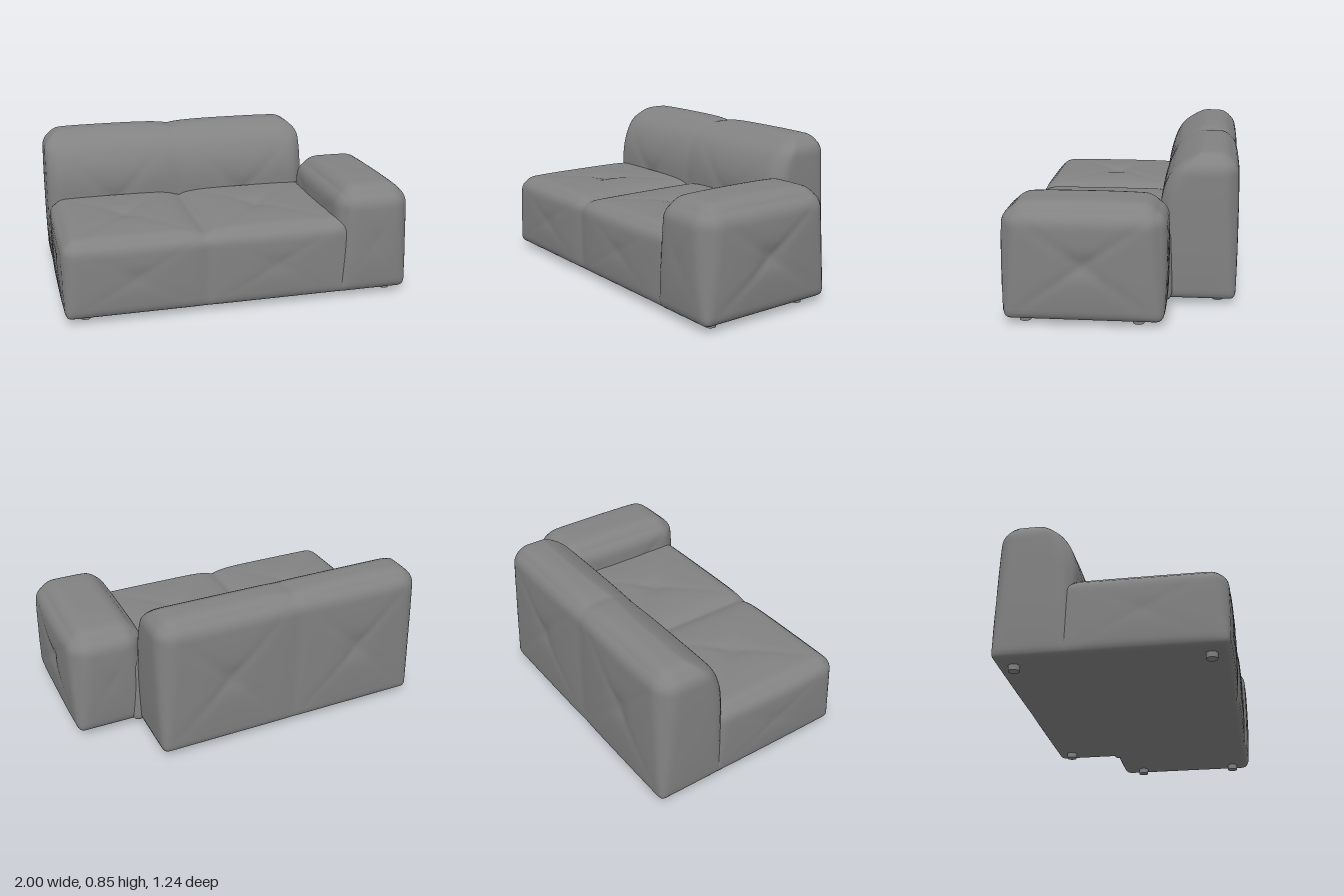
import * as THREE from 'three';
import { mergeVertices } from 'three/addons/utils/BufferGeometryUtils.js';

const material = new THREE.MeshStandardMaterial({ color: 0x828282 });
const lerp = THREE.MathUtils.lerp;

// Relief of one upholstered panel; a and b run -1..1 across it.
function relief(a, b, puff, tuft) {
  const A = Math.min(1, Math.abs(a)), B = Math.min(1, Math.abs(b));
  const pillow = puff * (1 - A ** 3) * (1 - B ** 3);
  const button = 0.013 * Math.exp(-(A * A + B * B) / 0.04);
  const crease = 0.007 * Math.exp(-(((A - B) / 0.11) ** 2)) * (1 - Math.max(A, B));
  return pillow - tuft * (button + crease);
}

// Soft block between min and max; tuft gives the button strength on the x, y and z faces.
// An optional seam at x = seam splits it into two panels, the second ending at panelEnd.
function cushion(name, min, max, { rTop, rBottom, puff, tuft, seam, seamDepth = 0, panelEnd = max.x, shape }) {
  const size = max.clone().sub(min);
  const seg = size.toArray().map((s) => Math.ceil(s / 0.02));
  let geo = new THREE.BoxGeometry(size.x, size.y, size.z, ...seg);
  geo.deleteAttribute('normal');
  geo.deleteAttribute('uv');
  geo = mergeVertices(geo);
  const mid = min.clone().add(max).multiplyScalar(0.5);
  geo.translate(mid.x, mid.y, mid.z);

  const pos = geo.attributes.position;
  const p = new THREE.Vector3(), inner = new THREE.Vector3(), n = new THREE.Vector3();
  for (let i = 0; i < pos.count; i++) {
    p.fromBufferAttribute(pos, i);
    const v = (p.y - mid.y) / size.y * 2;
    const w = (p.z - mid.z) / size.z * 2;
    // Panel coordinate along x, restarting at the seam
    let x0 = min.x, x1 = panelEnd;
    if (seam !== undefined) {
      if (p.x < seam) x1 = seam;
      else x0 = seam;
    }
    const u = (2 * p.x - x0 - x1) / (x1 - x0);
    const distance = seam === undefined ? 1 : Math.abs(p.x - seam);

    // Rounded edges, tighter towards the floor
    const r = lerp(rBottom, rTop, (v + 1) / 2);
    inner.copy(p).clamp(min.clone().addScalar(r), max.clone().subScalar(r));
    n.copy(p).sub(inner).normalize();
    p.copy(inner).addScaledVector(n, r);

    // Pillow, button and crease relief on every face but the underside
    const down = n.y < 0 ? n.y * n.y : 0;
    const up = n.y > 0 ? n.y * n.y : 0;
    let d = n.x * n.x * relief(w, v, puff, tuft[0])
      + up * relief(u, w, puff, tuft[1])
      + n.z * n.z * relief(u, v, puff, tuft[2]);
    d -= (1 - down) * seamDepth * (0.3 + 0.7 * up) * Math.exp(-distance / 0.045);
    p.addScaledVector(n, d);
    if (shape) shape(p);
    pos.setXYZ(i, p.x, p.y, p.z);
  }
  geo.computeVertexNormals();
  const mesh = new THREE.Mesh(geo, material);
  mesh.name = name;
  return mesh;
}

export function createModel() {
  const group = new THREE.Group();
  group.name = 'sofa';
  const V = (x, y, z) => new THREE.Vector3(x, y, z);

  // Two-panel seat, tucked under the backrest and into the arm
  group.add(cushion('seat', V(-0.985, 0.035, -0.26), V(0.66, 0.472, 0.598), {
    rTop: 0.09, rBottom: 0.035, puff: 0.012, tuft: [0.3, 1, 0.4],
    seam: -0.2, seamDepth: 0.03, panelEnd: 0.59,
  }));

  // Backrest with a sloping, rounded front
  group.add(cushion('backrest', V(-0.985, 0.035, -0.608), V(0.612, 0.84, -0.195), {
    rTop: 0.11, rBottom: 0.035, puff: 0.011, tuft: [0, 0, 0.8], seam: -0.2, seamDepth: 0.01,
    shape: (p) => {
      const zc = -0.46, t = Math.min(0.97, (p.y - 0.5) / 0.36);
      if (t > 0 && p.z > zc) p.z = zc + (p.z - zc) * Math.sqrt(1 - t ** 2.3);
    },
  }));

  // Single armrest
  group.add(cushion('armrest', V(0.565, 0.035, -0.235), V(0.984, 0.645, 0.604), {
    rTop: 0.12, rBottom: 0.04, puff: 0.016, tuft: [1, 0, 0.2],
  }));

  // Short round feet
  const footGeo = new THREE.CylinderGeometry(0.032, 0.03, 0.05, 20);
  for (const [x, z] of [[-0.87, 0.5], [0.89, 0.5], [0.89, -0.1], [0.5, -0.51], [-0.87, -0.51]]) {
    const foot = new THREE.Mesh(footGeo, material);
    foot.name = 'foot';
    foot.position.set(x, 0.03, z);
    group.add(foot);
  }
  return group;
}
